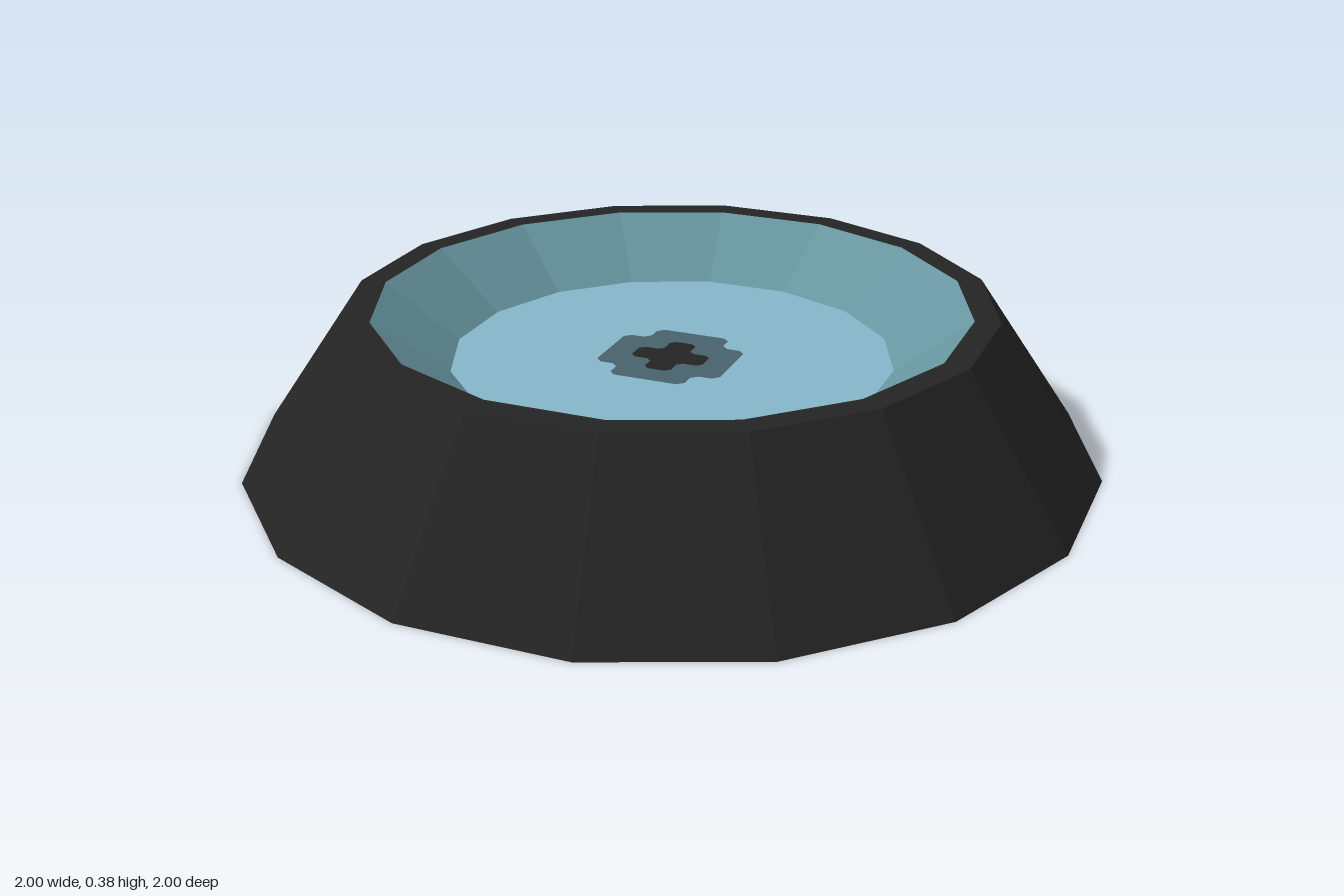
import * as THREE from 'three';

const SIDES = 16;
const TURN = Math.PI / SIDES;              // a flat side faces each axis
const circum = (flat) => flat / Math.cos(TURN);
const TOP = 0.375, FLOOR = 0.24;

const material = (name, color) => {
  const m = new THREE.MeshStandardMaterial({ color, side: THREE.DoubleSide, flatShading: true });
  m.name = name;
  return m;
};

// Open sloping band between two sixteen-sided rings
function band(topFlat, bottomFlat, y0, y1) {
  const g = new THREE.CylinderGeometry(circum(topFlat), circum(bottomFlat), y1 - y0, SIDES, 1, true, TURN);
  return g.translate(0, (y0 + y1) / 2, 0);
}

// Sixteen-sided outline
function polygon(flat) {
  return Array.from({ length: SIDES }, (_, i) => {
    const a = TURN + i * 2 * TURN, r = circum(flat);
    return new THREE.Vector2(r * Math.cos(a), r * Math.sin(a));
  });
}

// Plus sign: arm length, arm half width and corner cut, slightly forward of centre
function plus(arm, half, cut) {
  const quarter = [[arm, -half + cut], [arm, half - cut], [arm - cut, half], [half + cut, half], [half, half + cut], [half, arm - cut], [half - cut, arm]];
  const points = [];
  for (let q = 0; q < 4; q++) {
    const c = Math.round(Math.cos(q * Math.PI / 2)), s = Math.round(Math.sin(q * Math.PI / 2));
    for (const [x, y] of quarter) points.push(new THREE.Vector2(x * c - y * s, x * s + y * c - 0.01));
  }
  return points;
}

// Flat horizontal sheet with an optional hole
function sheet(outline, hole, y) {
  const shape = new THREE.Shape(outline);
  if (hole) shape.holes.push(new THREE.Path(hole));
  return new THREE.ShapeGeometry(shape).rotateX(-Math.PI / 2).translate(0, y, 0);
}

export function createModel() {
  const group = new THREE.Group();
  group.name = 'dish';
  const black = material('black', 0x242424);
  const wallBlue = material('mutedBlue', 0x67959f);
  const floorBlue = material('paleBlue', 0x86b5c9);
  const darkBlue = material('slateBlue', 0x48626b);

  const add = (name, geometry, mat) => {
    const mesh = new THREE.Mesh(geometry, mat);
    mesh.name = name;
    group.add(mesh);
  };

  const outerPlus = plus(0.155, 0.093, 0.015);
  const innerPlus = plus(0.09, 0.033, 0.012);

  // Outer shell, open underneath
  add('outerShell', band(0.75, 1, 0, TOP), black);
  add('rim', sheet(polygon(0.75), polygon(0.69), TOP), black);

  // Sunken bowl
  add('bowlWall', band(0.69, 0.515, FLOOR, TOP), wallBlue);
  add('bowlFloor', sheet(polygon(0.515), outerPlus, FLOOR), floorBlue);

  // Centre marking, set into the floor
  add('plusBorder', sheet(outerPlus, innerPlus, FLOOR), darkBlue);
  add('plusCentre', sheet(innerPlus, null, FLOOR), black);

  return group;
}
